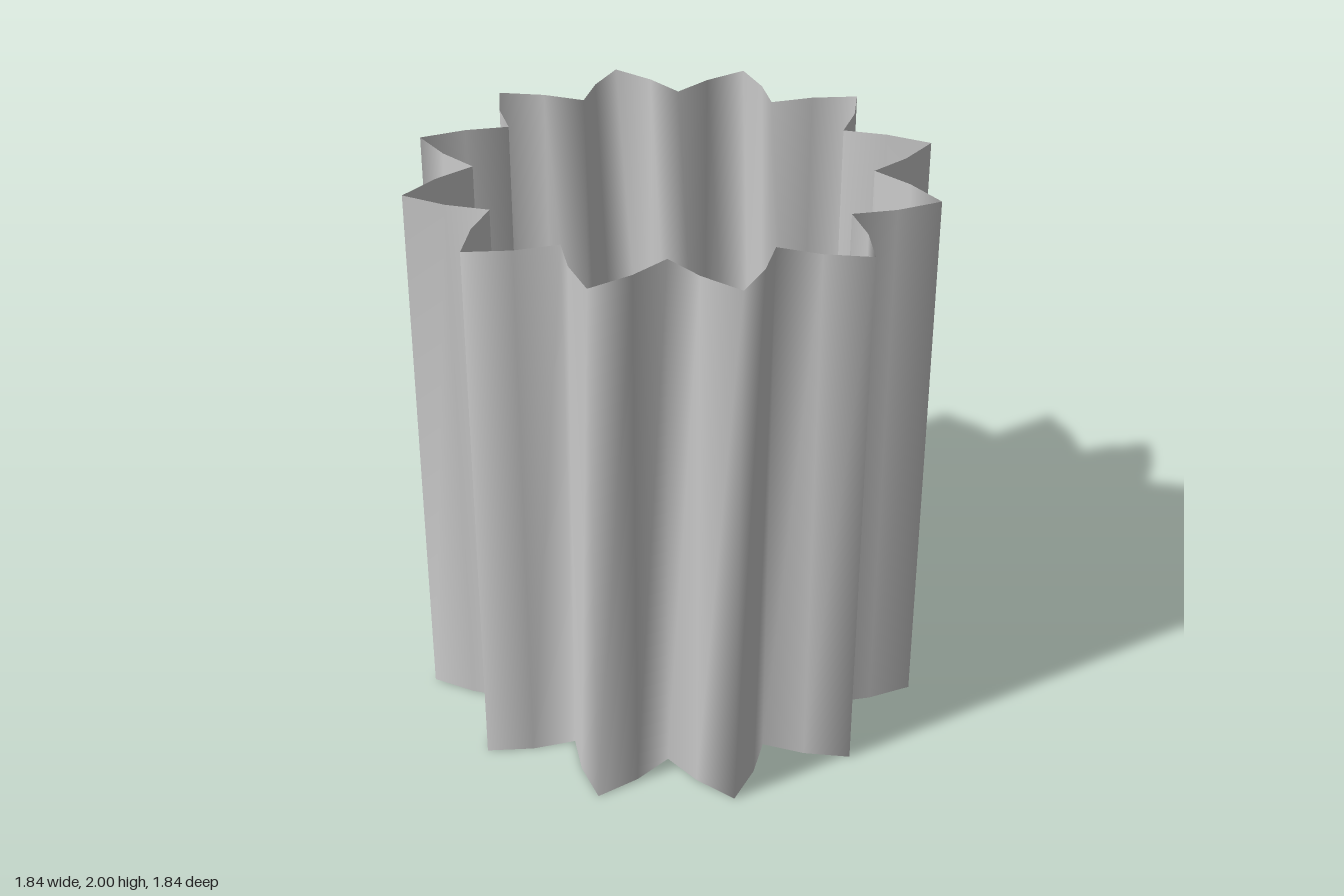
import * as THREE from 'three';
import { mergeVertices } from 'three/addons/utils/BufferGeometryUtils.js';

const RADIUS = 0.8, WAVE = 0.12, FLUTES = 12, HEIGHT = 2;

// Open tube whose radius ripples into twelve pointed flutes, four segments each
function flutedTube() {
  let geometry = new THREE.CylinderGeometry(1, 1, HEIGHT, FLUTES * 4, 1, true);
  geometry.deleteAttribute('uv');
  geometry.deleteAttribute('normal');
  const p = geometry.attributes.position;
  for (let i = 0; i < p.count; i++) {
    const angle = Math.atan2(p.getX(i), p.getZ(i));
    const r = RADIUS + WAVE * Math.cos(FLUTES * angle);
    p.setXYZ(i, r * Math.sin(angle), p.getY(i) + HEIGHT / 2, r * Math.cos(angle));
  }
  // Weld the seam so the shading runs smoothly all the way round
  geometry = mergeVertices(geometry, 1e-4);
  geometry.computeVertexNormals();
  return geometry;
}

export function createModel() {
  const group = new THREE.Group();
  group.name = 'flutedSleeve';
  const material = new THREE.MeshStandardMaterial({ color: 0xcccccc, side: THREE.DoubleSide });
  const wall = new THREE.Mesh(flutedTube(), material);
  wall.name = 'flutedWall';
  group.add(wall);
  return group;
}
